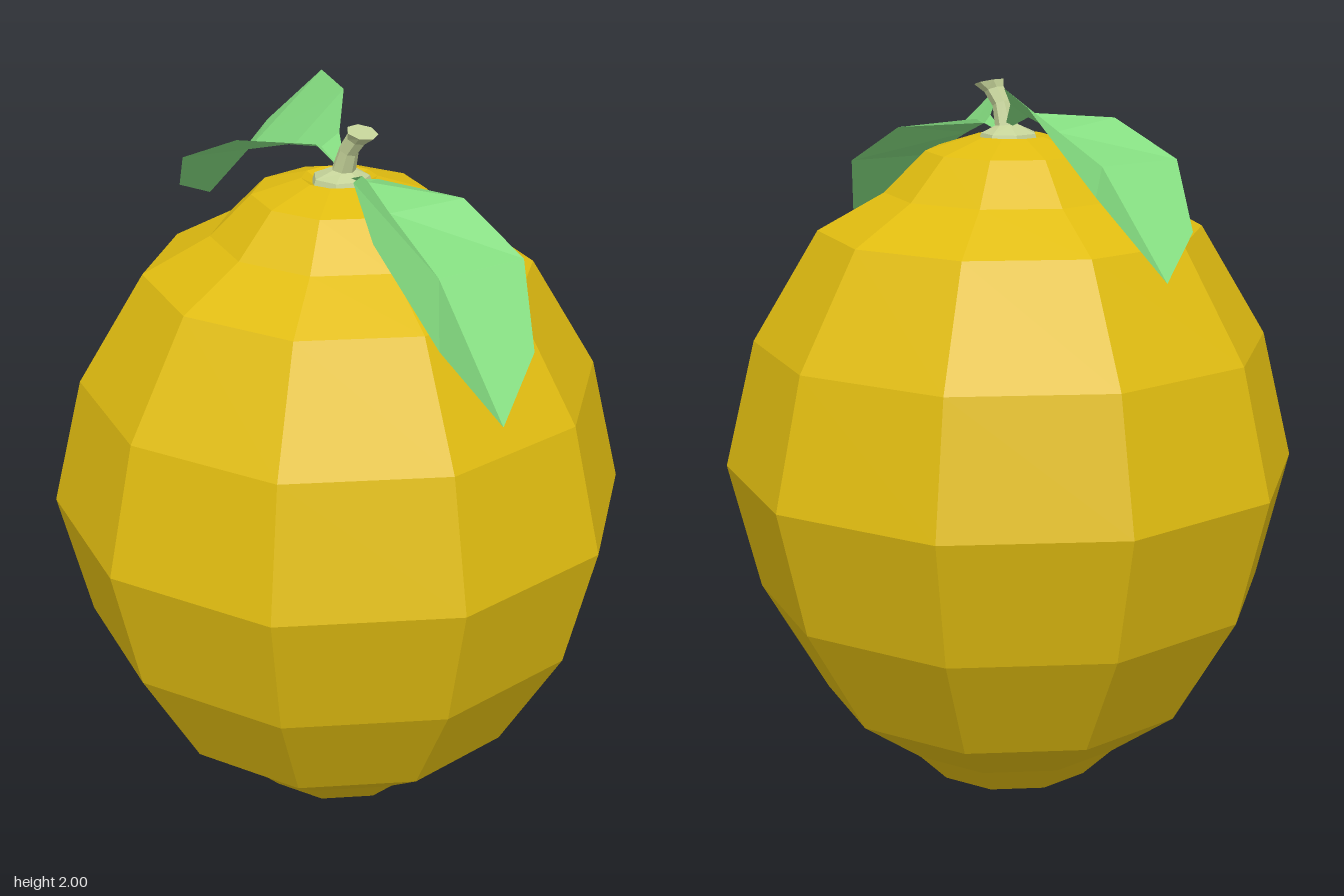
import * as THREE from 'three';

const mat = (color, side = THREE.FrontSide) =>
  new THREE.MeshStandardMaterial({ color, flatShading: true, side });

const add = (group, name, geometry, material) => {
  const mesh = new THREE.Mesh(geometry, material);
  mesh.name = name;
  group.add(mesh);
  return mesh;
};

// Faceted body of revolution from [radius, height] pairs, listed bottom to top
const turned = (profile, sides) =>
  new THREE.LatheGeometry(profile.map(([r, y]) => new THREE.Vector2(r, y)), sides);

// Leaf: rows of [outer edge, midrib, inner edge] between a base and a tip
function leafGeometry(base, rows, corners, tip) {
  const pos = [];
  const tri = (a, b, c) => pos.push(...a, ...b, ...c);
  const quad = (a, b, c, d) => { tri(a, b, c); tri(a, c, d); };
  tri(base, rows[0][0], rows[0][1]);
  tri(base, rows[0][1], rows[0][2]);
  for (let i = 0; i < rows.length - 1; i++) {
    const p = rows[i], q = rows[i + 1];
    quad(p[0], q[0], q[1], p[1]);
    quad(p[1], q[1], q[2], p[2]);
  }
  // fan around the last midrib point closes the tip
  const [a, m, b] = rows[rows.length - 1];
  const rim = [a, corners[0], tip, corners[1], b];
  for (let i = 0; i < rim.length - 1; i++) tri(m, rim[i], rim[i + 1]);
  const g = new THREE.BufferGeometry();
  g.setAttribute('position', new THREE.Float32BufferAttribute(pos, 3));
  g.computeVertexNormals();
  return g;
}

// Bent stalk: horizontal-ish rings [x, y, z, radius, tilt], closed at the top
function stalkGeometry(rings, sides) {
  const pos = [], idx = [];
  rings.forEach(([x, y, z, r, tilt]) => {
    for (let i = 0; i < sides; i++) {
      const a = (i / sides) * Math.PI * 2;
      const u = Math.cos(a) * r;
      pos.push(x + u * Math.cos(tilt), y - u * Math.sin(tilt), z + Math.sin(a) * r);
    }
  });
  for (let k = 0; k < rings.length - 1; k++) {
    for (let i = 0; i < sides; i++) {
      const j = (i + 1) % sides;
      const a = k * sides + i, b = k * sides + j;
      idx.push(a, a + sides, b, b, a + sides, b + sides);
    }
  }
  const top = (rings.length - 1) * sides;
  for (let i = 1; i < sides - 1; i++) idx.push(top, top + i + 1, top + i);
  const g = new THREE.BufferGeometry();
  g.setAttribute('position', new THREE.Float32BufferAttribute(pos, 3));
  g.setIndex(idx);
  g.computeVertexNormals();
  return g;
}

export function createModel() {
  const group = new THREE.Group();
  group.name = 'fruit';
  const skin = mat(0xe0bc10);
  const wood = mat(0xc4d298);
  const green = mat(0x84dc80, THREE.DoubleSide);

  // Ten-sided fruit with a dimple at each end
  const body = add(group, 'fruitBody', turned([
    [0, 0.07], [0.06, 0.06], [0.1, 0.03], [0.24, 0.06], [0.33, 0.15], [0.52, 0.29],
    [0.7, 0.6], [0.785, 0.95], [0.7, 1.3], [0.52, 1.6], [0.34, 1.7],
    [0.23, 1.81], [0.1, 1.85], [0.06, 1.83], [0, 1.82],
  ], 10), skin);
  body.position.x = -0.007;

  // Blossom end
  add(group, 'blossomEnd', turned([
    [0, 0], [0.035, 0.003], [0.065, 0.02], [0.085, 0.045], [0, 0.06],
  ], 8), wood);

  // Flared, bent stem
  add(group, 'stem', stalkGeometry([
    [0, 1.825, 0, 0.085, 0], [0, 1.855, 0, 0.075, 0], [0.01, 1.875, 0, 0.032, 0.1],
    [0.03, 1.93, 0, 0.026, 0.4], [0.055, 1.965, -0.005, 0.028, 0.4],
    [0.072, 1.985, -0.008, 0.042, 0.25],
  ], 7), wood);

  // Left leaf, toward +x
  add(group, 'leftLeaf', leafGeometry([0.02, 1.85, 0], [
    [[0.12, 1.89, 0.035], [0.12, 1.87, 0.015], [0.14, 1.88, 0]],
    [[0.28, 1.95, 0.21], [0.25, 1.83, 0.06], [0.33, 1.85, -0.12]],
    [[0.51, 1.89, 0.355], [0.49, 1.74, 0.12], [0.53, 1.74, -0.135]],
  ], [[0.715, 1.68, 0.335], [0.685, 1.57, -0.02]], [0.775, 1.46, 0.175]), green);

  // Right leaf, toward -x
  add(group, 'rightLeaf', leafGeometry([0.02, 1.86, 0], [
    [[-0.08, 1.94, -0.065], [-0.1, 1.905, -0.02], [-0.1, 1.915, 0]],
    [[-0.22, 2.0, -0.205], [-0.23, 1.88, -0.04], [-0.28, 1.91, 0.12]],
    [[-0.465, 1.98, -0.34], [-0.47, 1.82, -0.1], [-0.485, 1.82, 0.145]],
  ], [[-0.69, 1.79, -0.325], [-0.67, 1.67, 0.02]], [-0.775, 1.58, -0.17]), green);

  return group;
}
